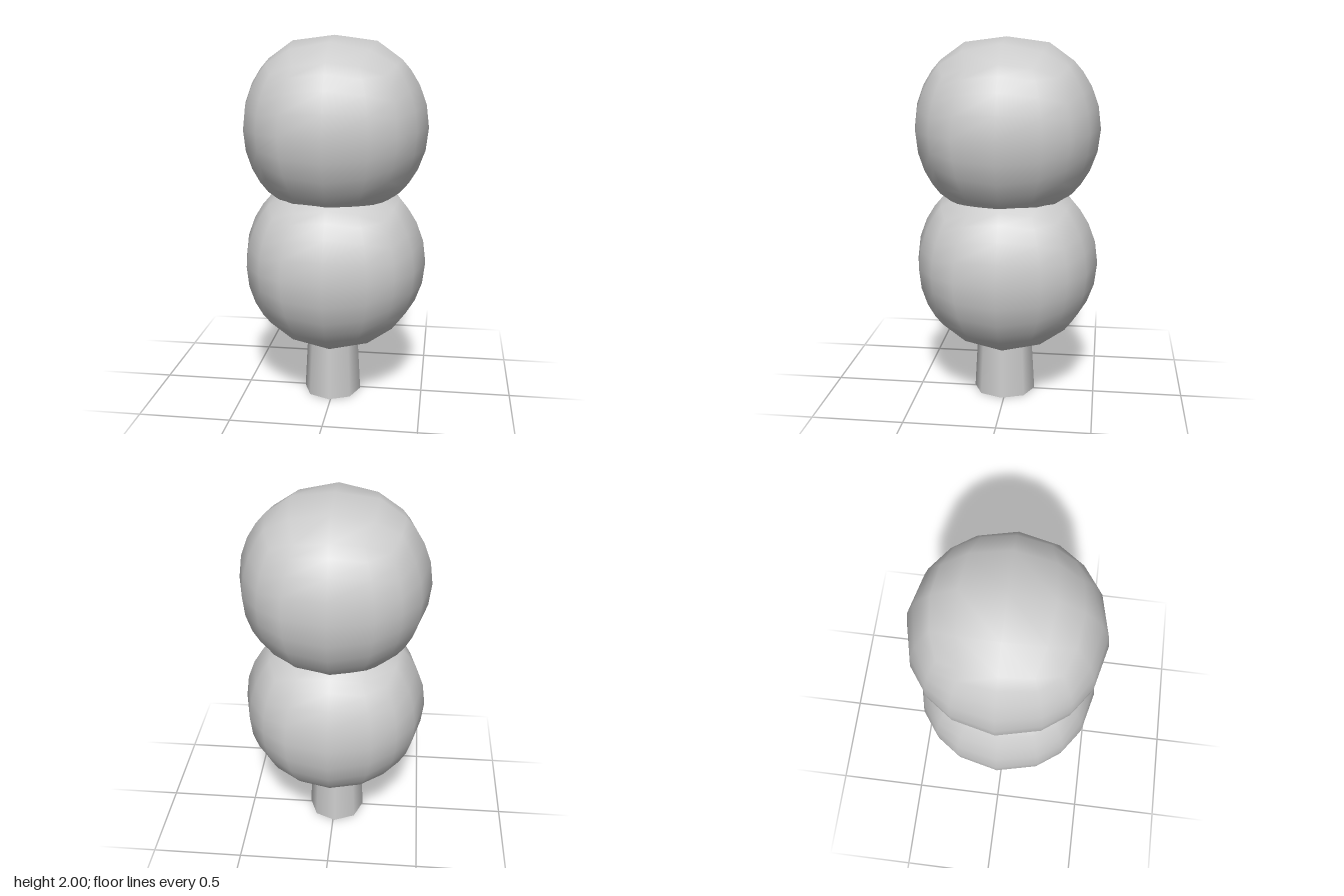
import * as THREE from 'three';
import { mergeVertices } from 'three/addons/utils/BufferGeometryUtils.js';

const RADIUS = 0.505;

// Ball made from a subdivided cube pushed out to a sphere, slightly flattened at the poles
function ballGeometry() {
  const box = new THREE.BoxGeometry(2, 2, 2, 4, 8, 4);
  box.deleteAttribute('uv');
  box.deleteAttribute('normal');
  const geometry = mergeVertices(box, 1e-4);
  const pos = geometry.attributes.position;
  const v = new THREE.Vector3();
  const shoulder = 0.45;
  for (let i = 0; i < pos.count; i++) {
    v.fromBufferAttribute(pos, i).setLength(RADIUS);
    const h = Math.abs(v.y);
    if (h > shoulder) v.y = Math.sign(v.y) * (shoulder + (h - shoulder) * 0.56);
    pos.setXYZ(i, v.x, v.y, v.z);
  }
  geometry.computeVertexNormals();
  return geometry;
}

export function createModel() {
  const group = new THREE.Group();
  group.name = 'roundTree';

  // Two stacked foliage balls
  const leafMaterial = new THREE.MeshStandardMaterial({ color: 0xcccccc });
  const ball = ballGeometry();
  for (const [name, y] of [['lowerFoliage', 0.772], ['upperFoliage', 1.518]]) {
    const mesh = new THREE.Mesh(ball, leafMaterial);
    mesh.name = name;
    mesh.position.y = y;
    group.add(mesh);
  }

  // Tapered eight-sided trunk, open at the bottom and a little off centre
  const height = 0.36;
  const trunk = new THREE.Mesh(
    new THREE.CylinderGeometry(0.152, 0.173, height, 8, 1, true),
    new THREE.MeshStandardMaterial({ color: 0xcccccc, side: THREE.DoubleSide })
  );
  trunk.name = 'trunk';
  trunk.scale.x = 0.925;
  trunk.position.set(-0.01, height / 2, 0.013);
  group.add(trunk);

  return group;
}
